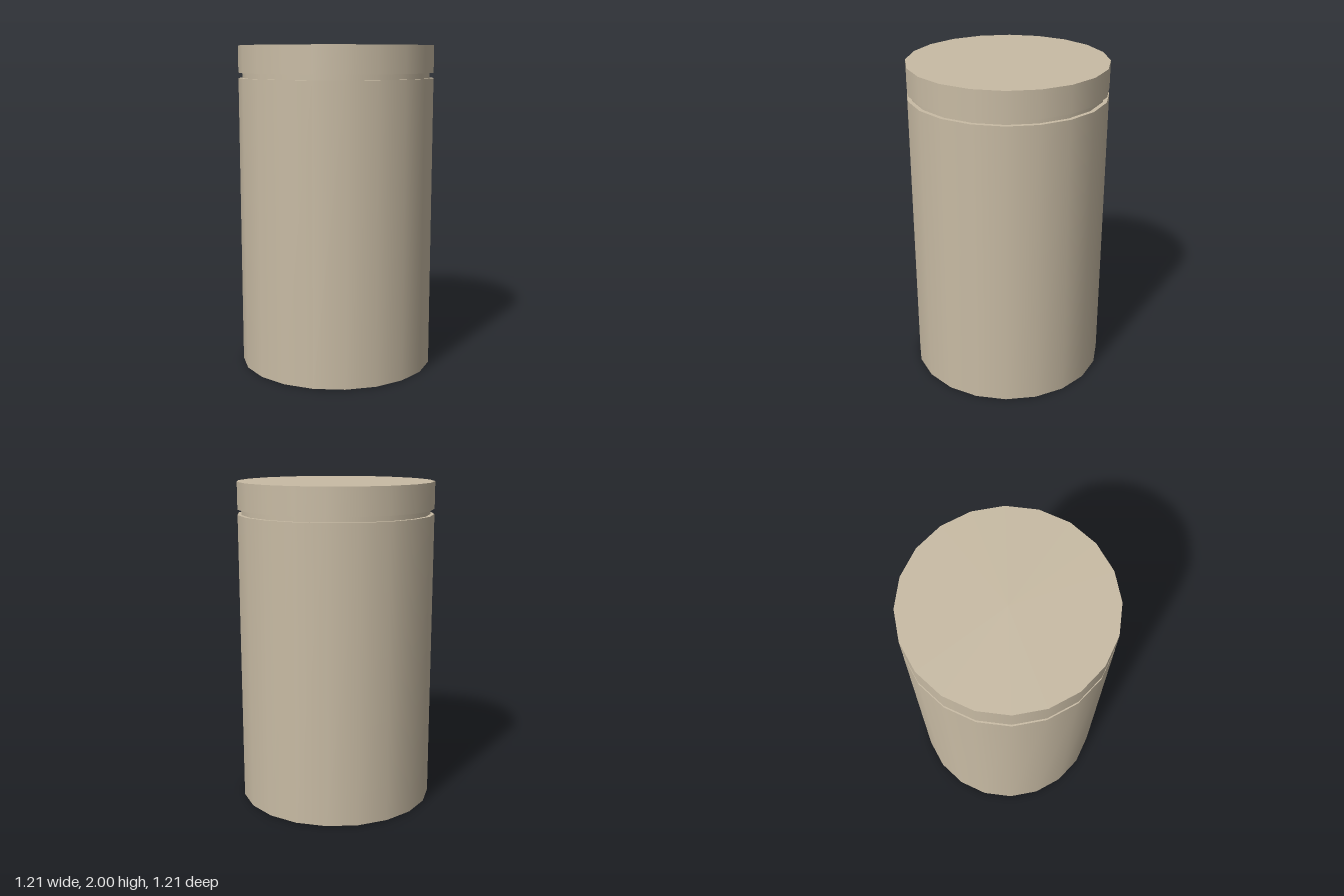
import * as THREE from 'three';

const SIDES = 20;
const RADIUS = 0.605;
const NECK_RADIUS = 0.58;

export function createModel() {
  const group = new THREE.Group();
  group.name = 'canister';
  const material = new THREE.MeshStandardMaterial({ color: 0xc8bba4 });

  // Upright closed cylinder between two heights
  const addDrum = (name, radius, bottom, top) => {
    const geometry = new THREE.CylinderGeometry(radius, radius, top - bottom, SIDES);
    const mesh = new THREE.Mesh(geometry, material);
    mesh.name = name;
    mesh.position.y = (bottom + top) / 2;
    group.add(mesh);
  };

  addDrum('body', RADIUS, 0, 1.803);
  addDrum('lid', RADIUS, 1.835, 2);

  // Recessed band between body and lid; open, as its ends meet the other parts
  const neck = new THREE.Mesh(
    new THREE.CylinderGeometry(NECK_RADIUS, NECK_RADIUS, 0.032, SIDES, 1, true),
    material
  );
  neck.name = 'neck';
  neck.position.y = 1.819;
  group.add(neck);

  return group;
}
